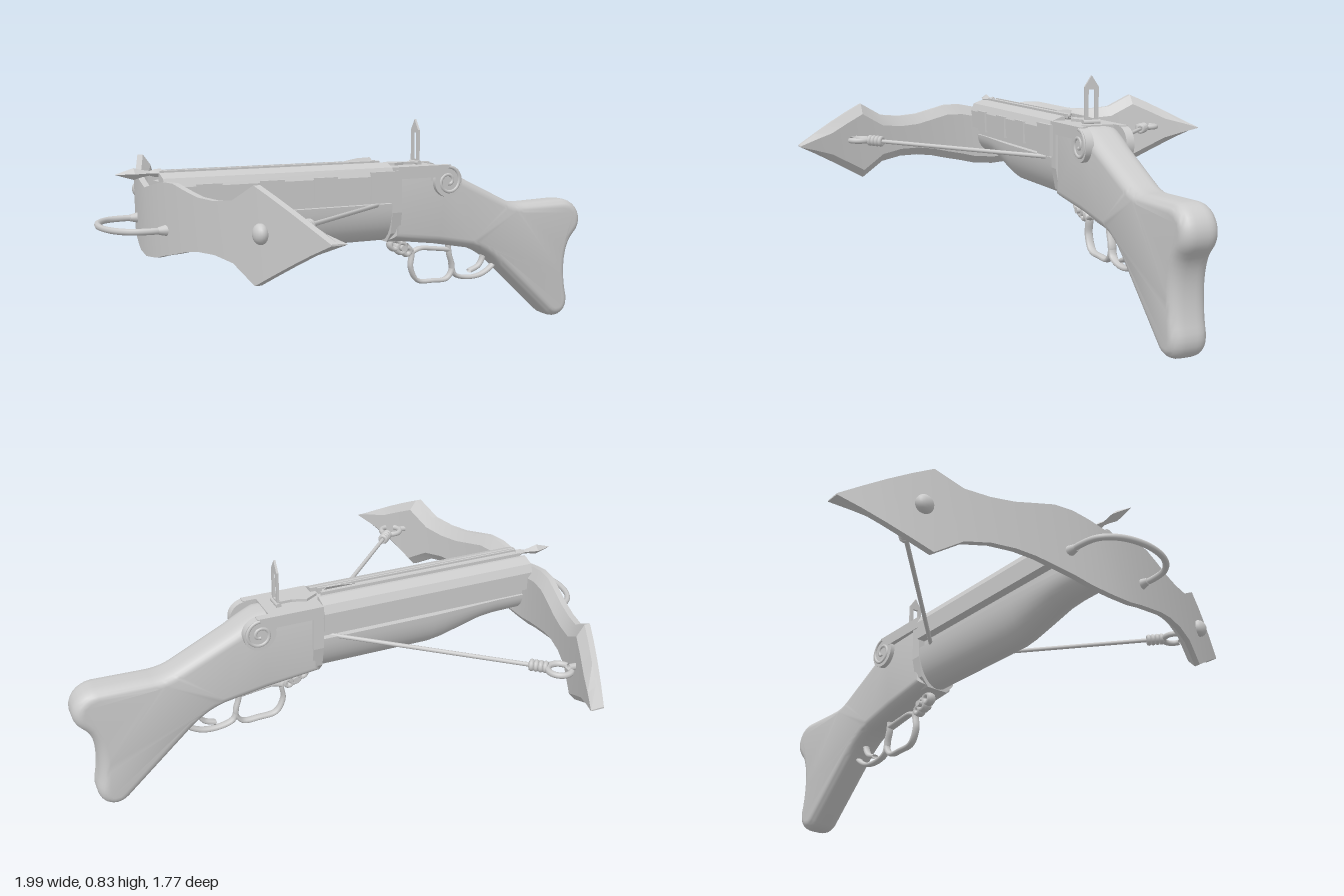
import * as THREE from 'three';
import { toCreasedNormals } from 'three/addons/utils/BufferGeometryUtils.js';

const mat = new THREE.MeshStandardMaterial({ color: 0xcccccc, side: THREE.DoubleSide });
const V = (x, y, z) => new THREE.Vector3(x, y, z);

function add(parent, name, geo, x = 0, y = 0, z = 0) {
  const m = new THREE.Mesh(geo, mat);
  m.name = name;
  m.position.set(x, y, z);
  parent.add(m);
  return m;
}

const shapeOf = pts => new THREE.Shape(pts.map(p => new THREE.Vector2(p[0], p[1])));

// Extrude a (z, y) outline along x
function extrudeX(shape, x0, x1) {
  const g = new THREE.ExtrudeGeometry(shape, { depth: x1 - x0, bevelEnabled: false });
  return g.rotateY(Math.PI / 2).translate(x0, 0, 0);
}

// Round rod between two points
function rod(parent, name, a, b, r) {
  return add(parent, name, new THREE.TubeGeometry(new THREE.LineCurve3(a, b), 1, r, 8));
}

// Bent wire through points
function wire(parent, name, pts, r, seg = 40) {
  const curve = new THREE.CatmullRomCurve3(pts.map(p => V(...p)));
  return add(parent, name, new THREE.TubeGeometry(curve, seg, r, 8));
}

// Skin a row of equal-sized rings and cap both ends
function loft(rings, crease) {
  const pos = [], put = (...ps) => ps.forEach(p => pos.push(...p));
  const n = rings[0].length, last = rings[rings.length - 1];
  for (let i = 0; i < rings.length - 1; i++)
    for (let j = 0; j < n; j++) {
      const k = (j + 1) % n, A = rings[i], B = rings[i + 1];
      put(A[j], B[j], A[k], A[k], B[j], B[k]);
    }
  for (let j = 1; j < n - 1; j++) {
    put(rings[0][0], rings[0][j], rings[0][j + 1]);
    put(last[0], last[j + 1], last[j]);
  }
  const g = new THREE.BufferGeometry();
  g.setAttribute('position', new THREE.Float32BufferAttribute(pos, 3));
  return toCreasedNormals(g, crease);
}

function makeStock(g) {
  // Side outline drawn inside the rounded edge
  const b = 0.035, s = new THREE.Shape();
  s.moveTo(0.08 + b, 0.42);
  s.lineTo(0.08 + b, 0.63);
  s.lineTo(0.30, 0.63);
  s.quadraticCurveTo(0.35, 0.61, 0.40, 0.58);
  s.lineTo(0.60, 0.485);
  s.quadraticCurveTo(0.65, 0.46, 0.71, 0.46);
  s.lineTo(0.90, 0.465);
  s.bezierCurveTo(0.95, 0.465, 0.98, 0.41, 0.94, 0.375);
  s.bezierCurveTo(0.88, 0.32, 0.88, 0.20, 0.90, 0.11);
  s.bezierCurveTo(0.92, 0.05, 0.88, 0.03, 0.85, 0.06);
  s.lineTo(0.62, 0.27);
  s.quadraticCurveTo(0.55, 0.34, 0.46, 0.365);
  s.lineTo(0.30, 0.395);
  s.closePath();
  const geo = new THREE.ExtrudeGeometry(s, {
    depth: 0.04, bevelSize: b, bevelThickness: 0.045, bevelSegments: 6, curveSegments: 10
  }).translate(0, 0, -0.02);
  // Widen towards the receiver
  const p = geo.attributes.position;
  for (let i = 0; i < p.count; i++) {
    const t = THREE.MathUtils.clamp((0.5 - p.getX(i)) / 0.4, 0, 1);
    p.setZ(i, p.getZ(i) * (1 + 0.25 * t));
  }
  add(g, 'stock', toCreasedNormals(geo, 0.6));
  add(g, 'receiverTop', new THREE.BoxGeometry(0.22, 0.06, 0.15), 0.17, 0.64, 0);
  add(g, 'receiverFront', extrudeX(shapeOf([[-0.09, 0.65], [-0.09, 0.5], [-0.075, 0.42], [-0.045, 0.385],
    [0.045, 0.385], [0.075, 0.42], [0.09, 0.5], [0.09, 0.65]]), 0.08, 0.12));

  // Side bands ending in scrolls
  for (const s of [1, -1]) {
    add(g, 'scrollBand', new THREE.BoxGeometry(0.25, 0.045, 0.03), 0.205, 0.6475, s * 0.078);
    add(g, 'scrollDisc', new THREE.CylinderGeometry(0.06, 0.06, 0.03, 32).rotateX(Math.PI / 2), 0.322, 0.607, s * 0.077);
    const spiral = [];
    for (let i = 0; i <= 24; i++) {
      const a = Math.PI / 2 - i * 0.4, r = 0.055 - i * 0.0019;
      spiral.push([0.322 + r * Math.cos(a), 0.607 + r * Math.sin(a), s * 0.09]);
    }
    wire(g, 'scrollRidge', spiral, 0.007, 70);
  }
}

function makeForeEnd(g) {
  // Upper block with chamfers and bolt groove
  add(g, 'upperBlock', extrudeX(shapeOf([[-0.1, 0.57], [0.1, 0.57], [0.1, 0.64], [0.085, 0.67], [0.045, 0.685],
    [0.035, 0.685], [0.035, 0.655], [-0.035, 0.655], [-0.035, 0.685], [-0.045, 0.685], [-0.085, 0.67], [-0.1, 0.64]]), -0.79, 0.08));
  for (const s of [1, -1])
    add(g, 'grooveRail', new THREE.BoxGeometry(0.84, 0.015, 0.008), -0.36, 0.6825, s * 0.018);
  add(g, 'stringSlotCore', new THREE.BoxGeometry(0.86, 0.07, 0.13), -0.35, 0.55, 0);

  // Rounded lower half, slimmer at the front
  const stations = [[-0.78, 0.455, 0.075], [-0.66, 0.452, 0.075], [-0.6, 0.445, 0.078], [-0.5, 0.415, 0.083],
    [-0.43, 0.395, 0.086], [-0.38, 0.387, 0.088], [0.09, 0.387, 0.088]];
  add(g, 'lowerForeEnd', loft(stations.map(([x, bottom, w]) => {
    const ring = [];
    for (let i = 0; i <= 20; i++) {
      const t = i / 20 * Math.PI;
      ring.push([x, 0.535 - (0.535 - bottom) * Math.sin(t), -w * Math.cos(t)]);
    }
    return ring;
  }), 0.6));

  // Square plates on one flank
  for (const x of [-0.635, -0.405, -0.2])
    add(g, 'sidePlate', new THREE.BoxGeometry(0.09, 0.085, 0.012), x, 0.605, 0.101);
  add(g, 'sidePlateLarge', new THREE.BoxGeometry(0.118, 0.115, 0.014), 0.042, 0.6, 0.1);
}

function makeBow(g) {
  const frontX = z => -0.83 + 0.27 * Math.pow(Math.abs(z) / 0.886, 1.6);
  // Half outline: z, top, bottom
  const half = [[0, 0.635, 0.4], [0.09, 0.655, 0.408], [0.15, 0.667, 0.423], [0.22, 0.668, 0.438], [0.29, 0.652, 0.455],
    [0.36, 0.637, 0.465], [0.44, 0.633, 0.466], [0.524, 0.643, 0.452], [0.614, 0.695, 0.395], [0.68, 0.664, 0.433],
    [0.75, 0.628, 0.473], [0.82, 0.589, 0.512], [0.886, 0.551, 0.546]];
  const all = [...half.slice(1).reverse().map(([z, t, b]) => [-z, t, b]), ...half];
  add(g, 'bow', loft(all.map(([z, t, b]) => {
    const x = frontX(z), h = Math.min(0.04, (t - b) * 0.25);
    return [[x, b, z], [x, t, z], [x + 0.022, t, z], [x + 0.05, t - h, z], [x + 0.05, b + h * 0.8, z], [x + 0.022, b, z]];
  }), 0.4));

  // Rivets, hooks, knots and string on both limbs
  for (const s of [1, -1]) {
    const z = s * 0.645;
    const rivet = add(g, 'rivet', new THREE.SphereGeometry(0.032, 20, 12), -0.672, 0.555, z);
    rivet.scale.x = 0.75;
    rod(g, 'hookShank', V(-0.67, 0.555, z), V(-0.59, 0.56, z), 0.012);
    const hook = add(g, 'hookRing', new THREE.TorusGeometry(0.04, 0.011, 8, 28, 5.3), -0.553, 0.56, z);
    hook.rotation.set(Math.PI / 2, 0, s * 2.4);
    const a = V(-0.53, 0.561, s * 0.622), b = V(0.045, 0.53, s * 0.055), dir = b.clone().sub(a).normalize();
    rod(g, 'string', a, b, 0.008);
    for (let i = 0; i < 4; i++) {
      const k = a.clone().addScaledVector(dir, 0.015 + i * 0.016);
      const wrap = add(g, 'knotWrap', new THREE.TorusGeometry(0.013, 0.009, 8, 16), k.x, k.y, k.z);
      wrap.lookAt(k.clone().add(dir));
    }
  }
  rod(g, 'stringMiddle', V(0.045, 0.53, -0.055), V(0.045, 0.53, 0.055), 0.008);

  // Foot stirrup
  const st = wire(g, 'stirrup', [[-0.79, 0, 0.165], [-0.86, 0, 0.17], [-0.92, 0, 0.155], [-0.965, 0, 0.1], [-0.985, 0, 0],
    [-0.965, 0, -0.1], [-0.92, 0, -0.155], [-0.86, 0, -0.17], [-0.79, 0, -0.165]], 0.011, 60);
  st.position.y = 0.51;
  for (const s of [1, -1])
    add(g, 'stirrupCollar', new THREE.CylinderGeometry(0.012, 0.02, 0.035, 14).rotateZ(Math.PI / 2), -0.82, 0.51, s * 0.168);
}

function makeBolt(g) {
  rod(g, 'boltShaft', V(-0.8, 0.682, 0), V(0.05, 0.682, 0), 0.008);
  const head = [[0, 0.93], [0.02, 0.865], [0.012, 0.835], [0.008, 0.81], [0.014, 0.79], [0.014, 0.77], [0, 0.77]];
  const tip = new THREE.LatheGeometry(head.map(p => new THREE.Vector2(p[0], p[1])).reverse(), 4).rotateZ(Math.PI / 2);
  add(g, 'boltHead', toCreasedNormals(tip.toNonIndexed(), 0.3), 0, 0.682, 0);
  for (let i = 0; i < 3; i++) {
    const vane = new THREE.ExtrudeGeometry(shapeOf([[-0.13, 0], [0.045, 0], [0.035, 0.022], [-0.02, 0.02]]),
      { depth: 0.003, bevelEnabled: false });
    add(g, 'boltVane', vane, 0, 0.682, 0).rotation.x = Math.PI / 2 + i * Math.PI * 2 / 3;
  }
}

function makeSight(g) {
  const leaf = shapeOf([[-0.027, 0.67], [0.027, 0.67], [0.027, 0.8], [0, 0.84], [-0.027, 0.8]]);
  leaf.holes.push(new THREE.Path([[-0.012, 0.69], [-0.012, 0.79], [0.012, 0.79], [0.012, 0.69]].map(p => new THREE.Vector2(...p))));
  add(g, 'sightLeaf', extrudeX(leaf, 0.224, 0.232));
  const base = new THREE.ExtrudeGeometry(shapeOf([[0.07, 0], [0.12, -0.03], [0.17, -0.012], [0.235, -0.012], [0.235, 0.012], [0.17, 0.012], [0.12, 0.03]]),
    { depth: 0.01, bevelEnabled: false }).rotateX(-Math.PI / 2);
  add(g, 'sightBase', base, 0, 0.67, 0);
  add(g, 'sightHinge', new THREE.CylinderGeometry(0.01, 0.01, 0.065, 12).rotateX(Math.PI / 2), 0.228, 0.675, 0);
}

function makeTrigger(g) {
  // Flat-banded lever loop and guard
  const bands = [
    ['leverLoop', [[0.19, 0.36, 0], [0.215, 0.33, 0], [0.21, 0.27, 0], [0.24, 0.215, 0], [0.31, 0.207, 0], [0.375, 0.21, 0], [0.4, 0.25, 0], [0.385, 0.31, 0], [0.38, 0.36, 0]]],
    ['triggerGuard', [[0.395, 0.27, 0], [0.41, 0.225, 0], [0.46, 0.207, 0], [0.53, 0.21, 0], [0.58, 0.235, 0], [0.61, 0.265, 0]]],
    ['leverTop', [[0.21, 0.325, 0], [0.25, 0.34, 0], [0.31, 0.335, 0], [0.385, 0.325, 0]]],
    ['trigger', [[0.53, 0.34, 0], [0.545, 0.29, 0], [0.525, 0.25, 0], [0.48, 0.23, 0]]]
  ];
  for (const [name, pts] of bands) wire(g, name, pts, 0.009).scale.z = 1.8;
  // Curled catch ahead of the lever
  for (const [x, y, r] of [[0.135, 0.365, 0.018], [0.165, 0.35, 0.02], [0.19, 0.335, 0.014]])
    add(g, 'leverCatch', new THREE.TorusGeometry(r, 0.01, 8, 20), x, y, 0).scale.z = 2;
  add(g, 'catchPin', new THREE.CylinderGeometry(0.012, 0.012, 0.06, 12).rotateX(Math.PI / 2), 0.165, 0.35, 0);
}

export function createModel() {
  const model = new THREE.Group();
  model.name = 'crossbow';
  const parts = { stock: makeStock, foreEnd: makeForeEnd, bowAssembly: makeBow, bolt: makeBolt, sight: makeSight, triggerGroup: makeTrigger };
  for (const [name, make] of Object.entries(parts)) {
    const g = new THREE.Group();
    g.name = name;
    make(g);
    model.add(g);
  }
  return model;
}
